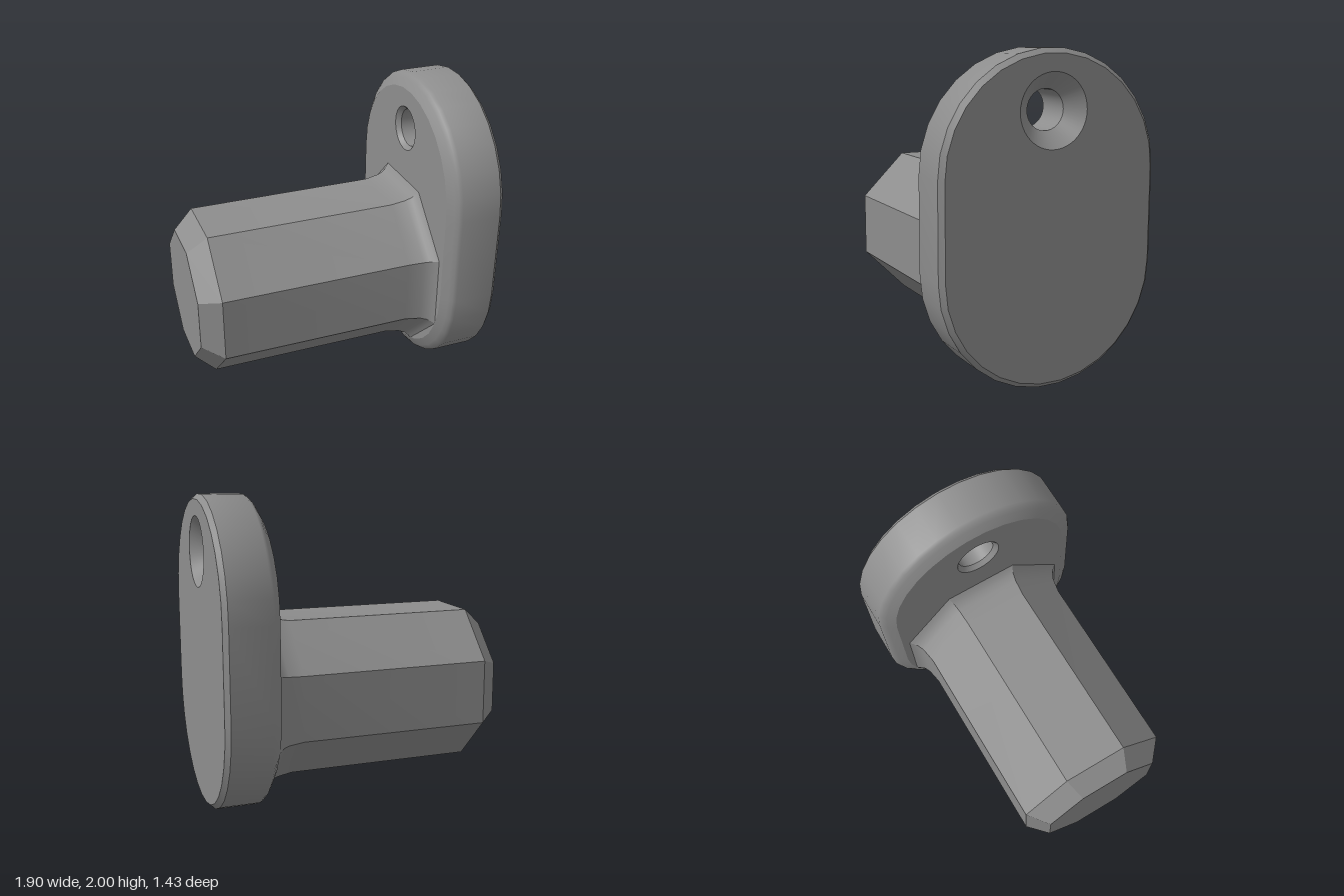
import * as THREE from 'three';
import { toCreasedNormals } from 'three/addons/utils/BufferGeometryUtils.js';

const material = new THREE.MeshStandardMaterial({ color: 0x8d8d8d });
const LOW = 0.713, HIGH = 1.287, HOLE_Y = 1.647;

// Outlines as [y, z] loops, running from +y towards +z
function polygon(sides, radius, cy, start = 0) {
  return Array.from({ length: sides }, (_, i) => {
    const a = start + (i / sides) * Math.PI * 2;
    return [cy + radius * Math.cos(a), radius * Math.sin(a)];
  });
}
const octagon = (apothem) => polygon(8, apothem / Math.cos(Math.PI / 8), LOW, Math.PI / 8);
const circle = (radius) => polygon(48, radius, HOLE_Y);
function stadium(radius) {
  const points = [];
  for (const [cy, start] of [[HIGH, -Math.PI / 2], [LOW, Math.PI / 2]]) {
    for (let i = 0; i <= 15; i++) {
      const a = start + (i / 15) * Math.PI;
      points.push([cy + radius * Math.cos(a), radius * Math.sin(a)]);
    }
  }
  return points;
}

// Wall through a row of [x, size] sections; descending x faces inwards
function loft(sections, outline, crease) {
  const positions = [], indices = [];
  let n = 0;
  for (const [x, size] of sections) {
    const ring = outline(size);
    n = ring.length;
    for (const [y, z] of ring) positions.push(x, y, z);
  }
  for (let i = 0; i < sections.length - 1; i++) {
    for (let j = 0; j < n; j++) {
      const a = i * n + j, b = i * n + ((j + 1) % n);
      indices.push(a, b, b + n, a, b + n, a + n);
    }
  }
  const geometry = new THREE.BufferGeometry();
  geometry.setAttribute('position', new THREE.Float32BufferAttribute(positions, 3));
  geometry.setIndex(indices);
  return toCreasedNormals(geometry, crease);
}

// Flat end face at x, looking along +x or -x
function cap(x, direction, outline, hole) {
  const toPoints = (loop) => loop.map(([y, z]) => new THREE.Vector2(z, y));
  const shape = new THREE.Shape(toPoints(outline));
  if (hole) shape.holes.push(new THREE.Path(toPoints(hole)));
  const geometry = new THREE.ShapeGeometry(shape);
  geometry.rotateY((direction * Math.PI) / 2);
  geometry.translate(x, 0, 0);
  return geometry;
}

function part(name, geometries) {
  const group = new THREE.Group();
  group.name = name;
  for (const [label, geometry] of Object.entries(geometries)) {
    const mesh = new THREE.Mesh(geometry, material);
    mesh.name = label;
    group.add(mesh);
  }
  return group;
}

export function createModel() {
  const model = new THREE.Group();
  model.name = 'flangedPeg';
  const back = 0.59, front = 0.947, R = 0.717;

  // Octagonal peg with a chamfered tip and a flared root, sharp along its eight edges
  const pegSections = [
    [-0.95, 0.393], [-0.822, 0.502], [0.41, 0.502],
    [0.51, 0.519], [0.55, 0.537], [0.575, 0.56], [back, 0.58],
  ];
  model.add(part('peg', {
    pegWall: loft(pegSections, octagon, 0.4),
    pegTip: cap(-0.95, -1, octagon(0.393)),
  }));

  // Oval plate: rounded back edge, small chamfer at the front
  const rim = [
    [back, R - 0.09], [0.62, R - 0.038], [0.638, R - 0.014], [0.66, R],
    [0.917, R], [front, R - 0.03],
  ];
  // Through hole, countersunk from the front
  const bore = [[front, 0.222], [front - 0.1, 0.122], [back + 0.03, 0.122], [back, 0.147]];
  model.add(part('plate', {
    plateRim: loft(rim, stadium, 0.66),
    plateFront: cap(front, 1, stadium(R - 0.03), circle(0.222)),
    plateBack: cap(back, -1, stadium(R - 0.09), circle(0.147)),
    countersunkHole: loft(bore, circle, 0.66),
  }));
  return model;
}
